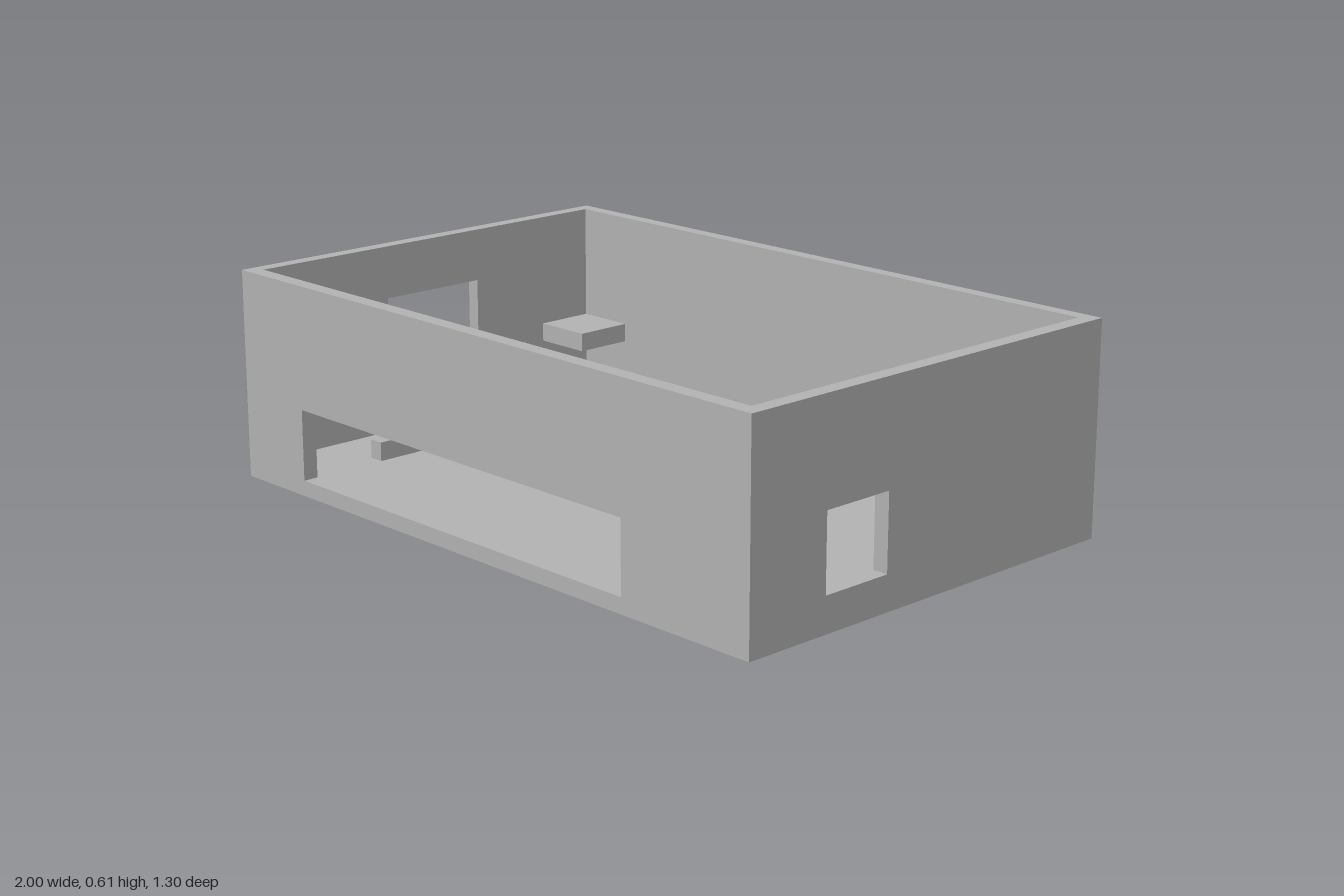
import * as THREE from 'three';

const grey = new THREE.MeshStandardMaterial({ color: 0xb2b2b2 });
grey.name = 'plain grey';

// Outer size and inner faces of the tray
const X = 1, Z = 0.65, H = 0.605, FLOOR = 0.045;
const IN = { x0: -0.96, x1: 0.955, z0: -0.61, z1: 0.605 };

export function createModel() {
  const model = new THREE.Group();
  model.name = 'enclosure';

  const add = (name, geometry) => {
    const mesh = new THREE.Mesh(geometry, grey);
    mesh.name = name;
    model.add(mesh);
    return mesh;
  };

  // Box given by its limits on each axis
  const block = (name, x0, x1, y0, y1, z0, z1) =>
    add(name, new THREE.BoxGeometry(x1 - x0, y1 - y0, z1 - z0))
      .position.set((x0 + x1) / 2, (y0 + y1) / 2, (z0 + z1) / 2);

  const trace = (path, u0, u1, v0, v1) => {
    path.moveTo(u0, v0).lineTo(u1, v0).lineTo(u1, v1).lineTo(u0, v1).closePath();
    return path;
  };

  // Upright wall with a rectangular opening
  const wall = (u0, u1, v0, depth, opening) => {
    const shape = trace(new THREE.Shape(), u0, u1, v0, H);
    shape.holes.push(trace(new THREE.Path(), ...opening));
    return new THREE.ExtrudeGeometry(shape, { depth, bevelEnabled: false });
  };

  // Shell
  block('floor', -X, X, 0, FLOOR, -Z, Z);
  block('backWall', -X, X, FLOOR, H, -Z, IN.z0);
  // The front opening's sill is flush with the floor
  const front = new THREE.Shape();
  [[-X, FLOOR], [-0.74, FLOOR], [-0.74, 0.25], [0.56, 0.25], [0.56, FLOOR], [X, FLOOR], [X, H], [-X, H]]
    .forEach(([x, y], i) => (i ? front.lineTo(x, y) : front.moveTo(x, y)));
  add('frontWall', new THREE.ExtrudeGeometry(front, { depth: Z - IN.z1, bevelEnabled: false }))
    .position.z = IN.z1;
  add('leftWall', wall(IN.z0, IN.z1, FLOOR, X - IN.x1, [0.17, 0.39, 0.1, 0.315]).rotateY(-Math.PI / 2))
    .position.x = X;
  add('rightWall', wall(IN.z0, IN.z1, FLOOR, X + IN.x0, [-0.17, 0.17, 0.26, 0.45]).rotateY(-Math.PI / 2))
    .position.x = IN.x0;

  // Corner shelves; the longer ones carry a small lip against the wall
  for (const [end, z0, z1] of [['back', IN.z0, -0.43], ['front', 0.42, IN.z1]]) {
    block(end + 'RightShelf', IN.x0, -0.78, 0.215, 0.27, z0, z1);
    block(end + 'LeftShelf', 0.65, IN.x1, 0.215, 0.27, z0, z1);
    block(end + 'ShelfLip', 0.915, IN.x1, 0.27, 0.295, z0, z1);
  }

  // Locating ribs on the floor
  block('rightRib', -0.785, -0.74, FLOOR, 0.1, 0.01, 0.38);
  block('leftRib', 0.56, 0.61, FLOOR, 0.1, 0.01, 0.38);
  block('backRib', -0.365, 0.16, FLOOR, 0.1, -0.265, -0.215);

  return model;
}
